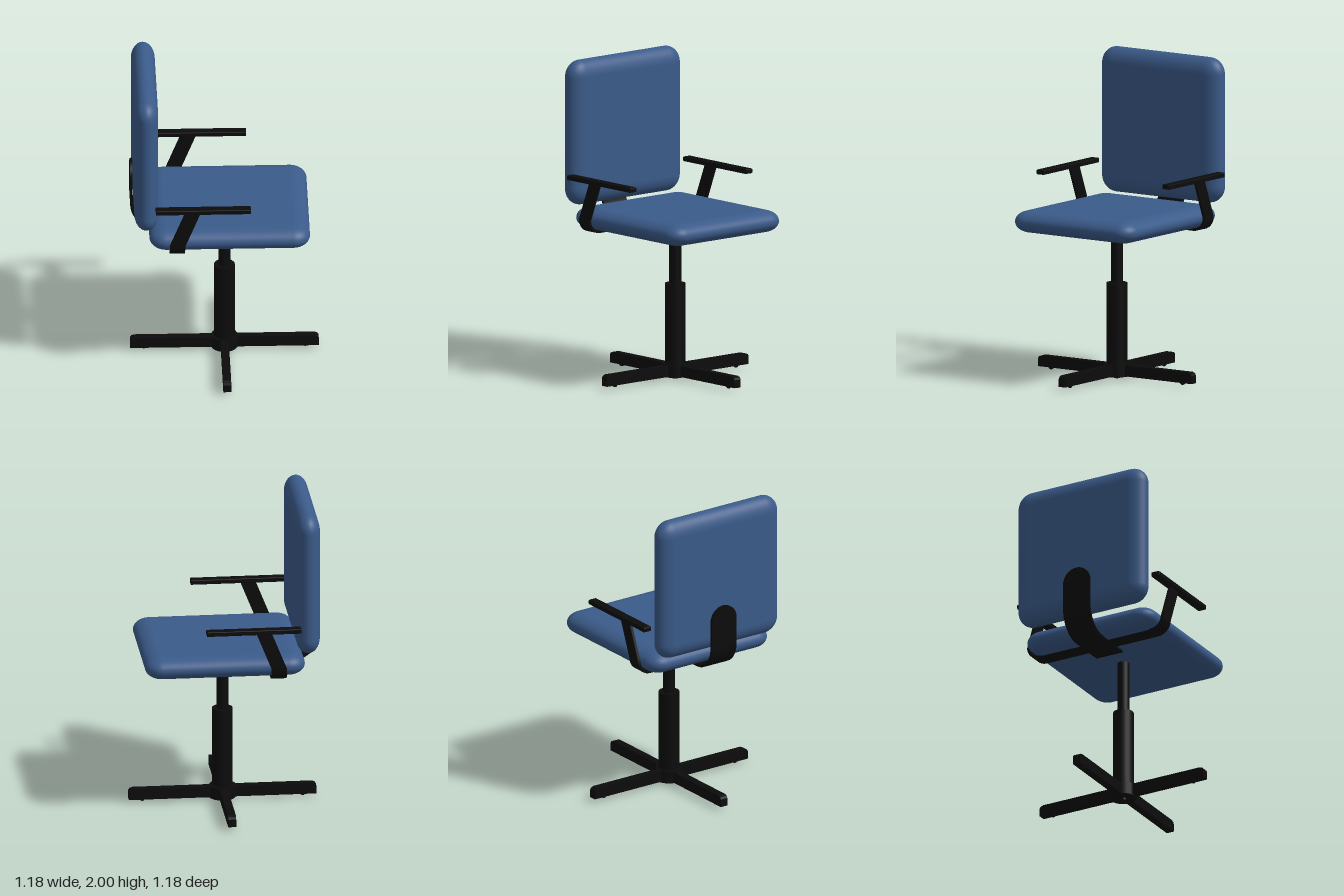
import * as THREE from 'three';
import { toCreasedNormals } from 'three/addons/utils/BufferGeometryUtils.js';
import { RoundedBoxGeometry } from 'three/addons/geometries/RoundedBoxGeometry.js';

const fabric = new THREE.MeshStandardMaterial({ color: 0x3b5b8a });
fabric.name = 'blue fabric';
const black = new THREE.MeshStandardMaterial({ color: 0x0c0c0c });
black.name = 'black metal';

const V = (x, y, z) => new THREE.Vector3(x, y, z);

function add(parent, name, geometry, material, x = 0, y = 0, z = 0) {
  const mesh = new THREE.Mesh(geometry, material);
  mesh.name = name;
  mesh.position.set(x, y, z);
  parent.add(mesh);
  return mesh;
}

// Pillow: a rounded box squashed in thickness, so its edges are fully rounded ellipses
function cushion(length, thickness, width) {
  const r = 0.105, k = (2 * r) / thickness;
  return new RoundedBoxGeometry(length, thickness * k, width, 8, r).scale(1, 1 / k, 1);
}

// Flat bar swept along points; axis is the width direction, halfWidth(i) its half width
function band(points, axis, thickness, halfWidth) {
  const pos = [], index = [], last = points.length - 1;
  points.forEach((p, i) => {
    const t = points[Math.min(i + 1, last)].clone().sub(points[Math.max(i - 1, 0)]);
    const n = t.cross(axis).normalize().multiplyScalar(thickness / 2);
    const w = axis.clone().multiplyScalar(halfWidth(i));
    for (const [a, b] of [[1, 1], [-1, 1], [-1, -1], [1, -1]]) {
      pos.push(...p.clone().addScaledVector(w, a).addScaledVector(n, b).toArray());
    }
    if (i < last) {
      for (let k = 0; k < 4; k++) {
        const a = i * 4 + k, b = i * 4 + (k + 1) % 4;
        index.push(a, b, b + 4, a, b + 4, a + 4);
      }
    }
  });
  const e = last * 4;
  index.push(0, 2, 1, 0, 3, 2, e, e + 1, e + 2, e, e + 2, e + 3);
  const g = new THREE.BufferGeometry();
  g.setAttribute('position', new THREE.Float32BufferAttribute(pos, 3));
  g.setIndex(index);
  return toCreasedNormals(g, 0.6);
}

export function createModel() {
  const chair = new THREE.Group();
  chair.name = 'swivelChair';

  // Upholstery
  add(chair, 'seat', cushion(1.005, 0.14, 0.92), fabric, 0.022, 1.015, 0);
  add(chair, 'backrest', cushion(0.92, 0.15, 0.92).rotateZ(Math.PI / 2), fabric, -0.5, 1.54, 0);

  // Column and hub
  const cyl = (r, h) => new THREE.CylinderGeometry(r, r, h, 24);
  add(chair, 'gasLift', cyl(0.038, 0.37), black, 0, 0.765, 0);
  add(chair, 'columnSleeve', cyl(0.065, 0.55), black, 0, 0.33, 0);
  add(chair, 'hub', cyl(0.083, 0.08), black, 0, 0.055, 0);
  add(chair, 'hubPin', cyl(0.02, 0.03), black, 0, 0.015, 0);

  // Four legs with a chamfered tip and a small foot each
  const side = new THREE.Shape([
    [0, 0.02], [0.59, 0.02], [0.59, 0.07], [0.583, 0.083], [0.565, 0.09], [0, 0.09],
  ].map(([x, y]) => new THREE.Vector2(x, y)));
  const legGeometry = new THREE.ExtrudeGeometry(side, { depth: 0.05, bevelEnabled: false });
  legGeometry.translate(0, 0, -0.025);
  for (let i = 0; i < 4; i++) {
    const leg = new THREE.Group();
    leg.name = 'leg' + (i + 1);
    leg.rotation.y = i * Math.PI / 2;
    add(leg, 'legBar', legGeometry, black);
    add(leg, 'foot', new THREE.SphereGeometry(0.018, 12, 8), black, 0.505, 0.022, 0);
    chair.add(leg);
  }

  // Backrest bracket: under the seat, round the corner and up to a rounded tip
  const bracket = [V(-0.17, 0.942, 0), V(-0.3, 0.942, 0)];
  for (let i = 0; i <= 10; i++) {
    const a = (i / 10) * Math.PI / 2;
    bracket.push(V(-0.43 - 0.155 * Math.sin(a), 1.102 - 0.16 * Math.cos(a), 0));
  }
  const tipStart = bracket.length;
  for (let i = 0; i <= 10; i++) {
    bracket.push(V(-0.585, 1.275 + 0.095 * Math.sin((i / 10) * Math.PI / 2), 0));
  }
  const bracketWidth = (i) => i < tipStart ? 0.095
    : Math.max(0.004, 0.095 * Math.cos(((i - tipStart) / 10) * Math.PI / 2));
  add(chair, 'backBracket', band(bracket, V(0, 0, 1), 0.016, bracketWidth), black);

  // Arm support: one U-shaped strap under the seat, its uprights leaning forward
  const lean = (y) => -0.308 + Math.max(0, y - 1.02) * 0.4;
  const half = [];
  for (let i = 0; i <= 8; i++) {
    const a = (i / 8) * Math.PI / 2;
    half.push([0.402 + 0.08 * Math.sin(a), 1.024 - 0.08 * Math.cos(a)]);
  }
  half.push([0.482, 1.05], [0.482, 1.27]);
  const strap = [
    ...half.slice().reverse().map(([z, y]) => V(lean(y), y, -z)),
    ...half.map(([z, y]) => V(lean(y), y, z)),
  ];
  add(chair, 'armSupport', band(strap, V(1, 0, 0), 0.017, () => 0.048), black);

  // Arm pads
  for (const s of [1, -1]) {
    add(chair, s > 0 ? 'armPadFront' : 'armPadRear',
      new RoundedBoxGeometry(0.595, 0.03, 0.057, 2, 0.005), black, -0.147, 1.276, s * 0.484);
  }
  return chair;
}
